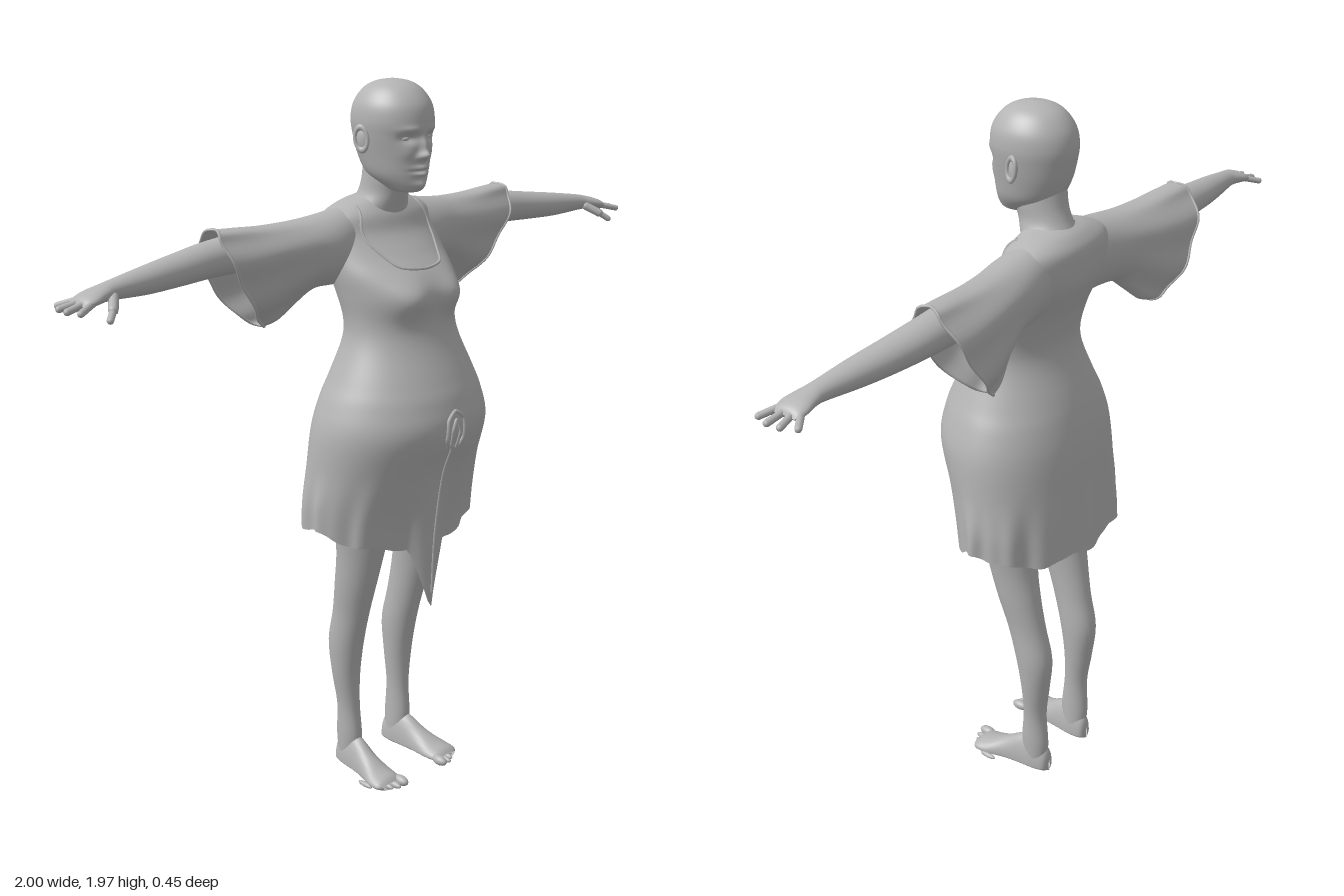
import * as THREE from 'three';

const grey = new THREE.MeshStandardMaterial({ color: 0xb4b4b4, side: THREE.DoubleSide });
grey.name = 'plain grey';

const add = (parent, name, geometry) => {
  const mesh = new THREE.Mesh(geometry, grey);
  mesh.name = name;
  parent.add(mesh);
  return mesh;
};

// Smooth value of the key rows at t (0..1)
function sample(keys, t) {
  const f = t * (keys.length - 1);
  const i = Math.min(Math.floor(f), keys.length - 2);
  const u = f - i;
  const p = (k) => keys[Math.max(0, Math.min(keys.length - 1, k))];
  return keys[0].map((_, c) => {
    const a = p(i - 1)[c], b = p(i)[c], d = p(i + 1)[c], e = p(i + 2)[c];
    return b + 0.5 * u * (d - a + u * (2 * a - 5 * b + 4 * d - e + u * (3 * (b - d) + e - a)));
  });
}

// Skin closed rings placed along the key rows
function loft(keys, ring, rows = 32, cols = 28) {
  const pos = [], index = [];
  for (let r = 0; r <= rows; r++) {
    const k = sample(keys, r / rows);
    for (let c = 0; c < cols; c++) pos.push(...ring(k, (c / cols) * Math.PI * 2));
  }
  for (let r = 0; r < rows; r++) {
    for (let c = 0; c < cols; c++) {
      const a = r * cols + c, b = r * cols + (c + 1) % cols;
      index.push(a, a + cols, b, b, a + cols, b + cols);
    }
  }
  const g = new THREE.BufferGeometry();
  g.setAttribute('position', new THREE.Float32BufferAttribute(pos, 3));
  g.setIndex(index);
  g.computeVertexNormals();
  return g;
}

const bump = (dx, dy, sx, sy) => Math.exp(-((dx / sx) ** 2) - (dy / sy) ** 2);

// Upright ring: key = [y, halfWidth, centreZ, frontZ, backZ]
function upright([y, a, cz, zf, zb], t) {
  const s = Math.sin(t);
  return [a * Math.cos(t), y, cz + (s > 0 ? zf - cz : cz - zb) * s];
}

function capsule(parent, name, a, b, r) {
  const from = new THREE.Vector3(...a), dir = new THREE.Vector3(...b).sub(from);
  const mesh = add(parent, name, new THREE.CapsuleGeometry(r, dir.length(), 5, 10));
  mesh.position.copy(from).addScaledVector(dir, 0.5);
  mesh.quaternion.setFromUnitVectors(new THREE.Vector3(0, 1, 0), dir.normalize());
}

function ellipsoid(parent, name, p, r) {
  add(parent, name, new THREE.SphereGeometry(1, 18, 12).scale(...r).translate(...p));
}

// Dress body: ragged flared hem, front point, belly and bust
function dressGeometry() {
  const keys = [
    [0.775, 0.28, -0.05, 0.115, -0.222], [0.85, 0.28, -0.05, 0.13, -0.217],
    [0.95, 0.272, -0.04, 0.165, -0.21], [1.07, 0.264, -0.02, 0.208, -0.2],
    [1.15, 0.24, -0.01, 0.198, -0.185], [1.21, 0.212, 0, 0.175, -0.168],
    [1.3, 0.174, 0, 0.135, -0.137], [1.36, 0.166, -0.01, 0.122, -0.13],
    [1.43, 0.176, -0.03, 0.126, -0.145], [1.48, 0.185, -0.05, 0.103, -0.165],
    [1.53, 0.19, -0.08, 0.055, -0.185], [1.58, 0.19, -0.1, 0.01, -0.19],
    [1.625, 0.175, -0.1, -0.01, -0.187], [1.655, 0.115, -0.1, -0.03, -0.165],
    [1.67, 0.06, -0.09, -0.04, -0.14],
  ];
  return loft(keys, (k, t) => {
    let [x, y, z] = upright(k, t);
    const w = THREE.MathUtils.smoothstep(1.0 - y, 0, 0.225);
    const fold = 1 + 0.022 * w * Math.sin(11 * t + 0.6) + 0.012 * w * Math.sin(19 * t);
    x *= fold;
    z *= fold;
    if (Math.sin(t) > 0) {
      z += 0.026 * (bump(x - 0.08, y - 1.425, 0.055, 0.05) + bump(x + 0.08, y - 1.425, 0.055, 0.05));
      const tail = Math.max(0, 1 - Math.abs(x + 0.015) / 0.065) * w;
      y -= 0.035 * w * Math.sin(t) + 0.2 * tail * w;
      z += 0.02 * tail;
    } else y += 0.012 * w * Math.sin(t);
    y += 0.03 * w * Math.cos(t) ** 4 + 0.006 * w * Math.sin(9 * t);
    return [x, y, z];
  }, 80, 144);
}

// Head with sockets, brow, nose, lips and chin pressed into its front
function headGeometry() {
  const keys = [
    [1.686, 0.002, 0.03, 0.032, 0.028], [1.69, 0.032, 0.02, 0.06, -0.02],
    [1.705, 0.05, 0, 0.073, -0.06], [1.735, 0.071, -0.02, 0.077, -0.105],
    [1.78, 0.084, -0.03, 0.08, -0.13], [1.83, 0.095, -0.03, 0.083, -0.143],
    [1.87, 0.1, -0.03, 0.086, -0.147], [1.91, 0.094, -0.03, 0.077, -0.137],
    [1.945, 0.071, -0.03, 0.049, -0.11], [1.963, 0.041, -0.03, 0.015, -0.075],
    [1.97, 0.001, -0.03, -0.029, -0.031],
  ];
  const features = [
    [0.038, 1.828, -0.014, 0.022, 0.012], [0.04, 1.85, 0.006, 0.028, 0.009],
    [0.045, 1.79, 0.004, 0.02, 0.018], [0.014, 1.781, 0.008, 0.008, 0.008],
    [0, 1.785, 0.021, 0.011, 0.012], [0, 1.81, 0.013, 0.009, 0.022],
    [0, 1.753, 0.009, 0.024, 0.006], [0, 1.737, 0.009, 0.02, 0.006],
    [0, 1.745, -0.006, 0.028, 0.003], [0, 1.708, 0.007, 0.02, 0.011],
  ];
  return loft(keys, (k, t) => {
    const p = upright(k, t);
    if (Math.sin(t) > 0) {
      for (const [x, y, amp, sx, sy] of features) {
        p[2] += amp * bump(Math.abs(p[0]) - x, p[1] - y, sx, sy) * Math.sin(t);
      }
    }
    return p;
  }, 110, 112);
}

function buildArm(root, s) {
  const side = s > 0 ? 'left' : 'right';
  const arm = new THREE.Group();
  arm.name = side + 'Arm';
  root.add(arm);
  const P = (x, y, z) => [s * x, y, z - 0.018 * s * x];
  // Arm and palm: [x, y, z, radiusY, radiusZ]
  add(arm, side + 'ArmAndPalm', loft([
    [0.15, 1.56, -0.11, 0.06, 0.06], [0.35, 1.573, -0.12, 0.053, 0.055],
    [0.53, 1.567, -0.122, 0.046, 0.051], [0.65, 1.558, -0.112, 0.04, 0.046],
    [0.75, 1.551, -0.1, 0.034, 0.039], [0.85, 1.546, -0.09, 0.024, 0.029],
    [0.885, 1.543, -0.087, 0.02, 0.033], [0.92, 1.537, -0.085, 0.017, 0.041],
    [0.945, 1.53, -0.084, 0.013, 0.039], [0.955, 1.527, -0.084, 0.001, 0.03],
  ], ([x, y, z, ry, rz], t) => P(x, y + ry * Math.cos(t), z + rz * Math.sin(t)), 50));
  // Fingers and thumb
  [[-0.031, 0.97], [-0.011, 0.989], [0.01, 0.992], [0.031, 0.98]].forEach(([o, tip]) =>
    capsule(arm, 'finger', P(0.935, 1.531, -0.084 + o), P(tip, 1.52, -0.086 + o * 1.75), 0.0085));
  capsule(arm, 'thumb', P(0.87, 1.535, -0.062), P(0.895, 1.515, -0.03), 0.012);
  capsule(arm, 'thumbTip', P(0.895, 1.515, -0.03), P(0.917, 1.497, -0.012), 0.0085);
  // Wide drooping sleeve: [topX, topY, bottomX, bottomY, z, halfDepth, bulge]
  const ring = ([xt, yt, xb, yb, z, d, b], t) => {
    const c = (1 + Math.cos(t)) / 2, n = Math.abs(Math.sin(t));
    return P(xb + (xt - xb) * c + b * n, yb + (yt - yb) * c,
      z + d * Math.sin(t) * (0.85 + 0.15 * c) - 0.035 * (1 - c) * b / 0.045 + 0.006 * b / 0.045 * Math.sin(7 * t));
  };
  const rim = [0.52, 1.635, 0.35, 1.36, -0.125, 0.078, 0.045];
  add(arm, side + 'Sleeve', loft([
    [0.08, 1.655, 0.1, 1.45, -0.1, 0.07, 0], [0.18, 1.64, 0.17, 1.45, -0.1, 0.085, 0],
    [0.27, 1.63, 0.225, 1.445, -0.108, 0.085, 0.01], [0.37, 1.628, 0.265, 1.412, -0.115, 0.085, 0.025],
    [0.45, 1.632, 0.31, 1.373, -0.12, 0.082, 0.04], rim,
  ], ring, 40, 56));
  const edge = [];
  for (let i = 0; i < 48; i++) edge.push(new THREE.Vector3(...ring(rim, i / 48 * Math.PI * 2)));
  add(arm, side + 'SleeveHem', new THREE.TubeGeometry(new THREE.CatmullRomCurve3(edge, true), 72, 0.004, 6, true));
}

function buildLeg(root, s) {
  const side = s > 0 ? 'left' : 'right';
  const leg = new THREE.Group();
  leg.name = side + 'Leg';
  root.add(leg);
  // Leg: [y, x, halfWidth, z, halfDepth]
  add(leg, side + 'LegSkin', loft([
    [0.03, 0.095, 0.03, -0.115, 0.035], [0.1, 0.098, 0.031, -0.113, 0.042],
    [0.2, 0.1, 0.031, -0.114, 0.035], [0.3, 0.104, 0.04, -0.118, 0.042],
    [0.4, 0.106, 0.046, -0.114, 0.055], [0.5, 0.108, 0.046, -0.09, 0.058],
    [0.6, 0.112, 0.053, -0.065, 0.065], [0.7, 0.112, 0.063, -0.045, 0.072],
    [0.85, 0.11, 0.085, -0.03, 0.09], [1.0, 0.1, 0.095, -0.02, 0.1],
  ], ([y, x, a, z, d], t) => [s * (x + a * Math.cos(t)), y, z + d * Math.sin(t)], 45));
  // Foot: [z, x, halfWidth, height]
  add(leg, side + 'Foot', loft([
    [-0.162, 0.094, 0.003, 0.04], [-0.152, 0.094, 0.024, 0.075], [-0.115, 0.096, 0.033, 0.105],
    [-0.07, 0.1, 0.034, 0.1], [-0.02, 0.106, 0.038, 0.07], [0.03, 0.113, 0.047, 0.045],
    [0.065, 0.116, 0.045, 0.034], [0.08, 0.116, 0.03, 0.022],
  ], ([z, x, a, h], t) => {
    const v = Math.sin(t);
    return [s * (x + a * Math.cos(t)), v > 0 ? 0.016 + (h - 0.016) * v : 0.016 + 0.014 * v, z];
  }, 36));
  // Toes, big one on the inside
  for (let i = 0; i < 5; i++) {
    const r = i ? 0.0105 - 0.0008 * i : 0.0145;
    ellipsoid(leg, 'toe', [s * (0.08 + 0.019 * i + (i ? 0.004 : 0)), r + 0.002, 0.082 - 0.004 * i * i], [r, r, 0.027]);
  }
}

export function createModel() {
  const root = new THREE.Group();
  root.name = 'womanInDress';
  const dress = add(root, 'dress', dressGeometry());
  add(root, 'head', headGeometry());
  add(root, 'neck', loft([
    [1.6, 0.085, -0.09, -0.02, -0.165], [1.64, 0.078, -0.08, -0.008, -0.158],
    [1.68, 0.06, -0.065, 0.008, -0.138], [1.72, 0.058, -0.05, 0.022, -0.125],
    [1.77, 0.058, -0.045, 0.02, -0.12],
  ], upright, 20, 36));

  for (const s of [1, -1]) {
    // Eyes and ears
    ellipsoid(root, 'eye', [s * 0.037, 1.827, 0.052], [0.016, 0.0085, 0.012]);
    const ear = new THREE.Group();
    ear.name = 'ear';
    ear.position.set(s * 0.098, 1.822, -0.04);
    ear.rotation.set(-0.15, -s * 0.35, 0);
    ellipsoid(ear, 'earBowl', [0, 0, 0], [0.008, 0.03, 0.017]);
    add(ear, 'earRim', new THREE.TorusGeometry(0.018, 0.005, 8, 24).scale(1, 1.6, 1)
      .rotateY(Math.PI / 2).translate(s * 0.006, 0.002, 0));
    root.add(ear);
    buildArm(root, s);
    buildLeg(root, s);
  }

  // Trim laid onto the front of the dress
  const ray = new THREE.Raycaster();
  const trim = (name, points, radius) => {
    const path = new THREE.CatmullRomCurve3(points.map(([x, y]) => new THREE.Vector3(x, y, 0)), false, 'catmullrom', 0.3);
    const laid = path.getSpacedPoints(40).map((p) => {
      ray.set(new THREE.Vector3(p.x, p.y, 2), new THREE.Vector3(0, 0, -1));
      const hit = ray.intersectObject(dress)[0];
      return hit ? hit.point : p.setZ(-0.08);
    });
    add(root, name, new THREE.TubeGeometry(new THREE.CatmullRomCurve3(laid), 80, radius, 6));
  };
  trim('neckline', [[-0.105, 1.65], [-0.12, 1.6], [-0.115, 1.56], [-0.075, 1.505], [0, 1.495],
    [0.075, 1.505], [0.115, 1.56], [0.12, 1.6], [0.105, 1.65]], 0.004);
  trim('outerKnotLoop', [[-0.018, 1.035], [-0.031, 1.06], [-0.028, 1.11], [0, 1.132],
    [0.028, 1.11], [0.031, 1.06], [0.018, 1.035]], 0.006);
  trim('innerKnotLoop', [[-0.01, 1.03], [-0.014, 1.08], [0, 1.11], [0.014, 1.08], [0.01, 1.03]], 0.005);
  trim('frontPleat', [[-0.005, 1.04], [-0.01, 0.9], [-0.015, 0.76], [-0.015, 0.6]], 0.004);
  return root;
}
